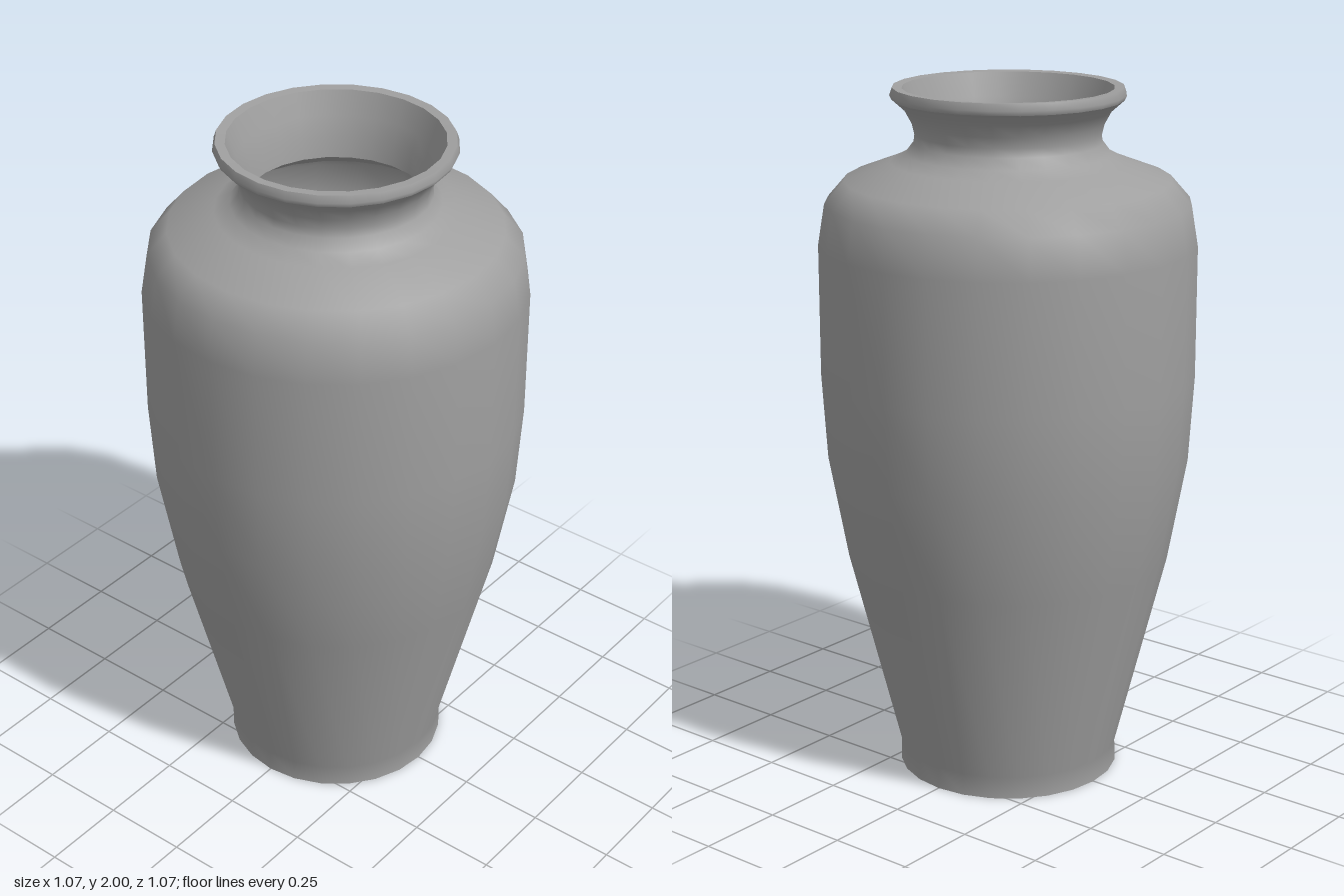
import * as THREE from 'three';

const SIDES = 24;

// Profiles are [radius, height]; each lathe is smooth, with sharp edges where two meet.
const PROFILES = {
  base: [[0, 0], [0.32, 0]],
  outerWall: [
    [0.32, 0], [0.319, 0.065], [0.464, 0.645], [0.518, 0.945], [0.533, 1.19],
    [0.533, 1.565], [0.514, 1.68], [0.459, 1.743], [0.33, 1.792], [0.287, 1.815],
    [0.264, 1.845], [0.261, 1.87], [0.268, 1.9], [0.287, 1.935], [0.323, 1.967],
  ],
  rimEdge: [[0.323, 1.967], [0.329, 1.98], [0.322, 2]],
  rimTop: [[0.322, 2], [0.295, 1.998]],
  neckInside: [[0.295, 1.998], [0.272, 1.93], [0.256, 1.875], [0.247, 1.815]],
  innerWall: [
    [0.247, 1.815], [0.32, 1.765], [0.44, 1.72], [0.49, 1.665], [0.508, 1.56],
    [0.508, 1.19], [0.493, 0.945], [0.438, 0.645], [0.295, 0.06],
  ],
  innerFloor: [[0.295, 0.06], [0, 0.06]],
};

export function createModel() {
  const vase = new THREE.Group();
  vase.name = 'vase';
  const material = new THREE.MeshStandardMaterial({ color: 0x9f9f9f });

  for (const [name, profile] of Object.entries(PROFILES)) {
    const points = profile.map(([r, y]) => new THREE.Vector2(r, y));
    const mesh = new THREE.Mesh(new THREE.LatheGeometry(points, SIDES), material);
    mesh.name = name;
    vase.add(mesh);
  }
  return vase;
}
